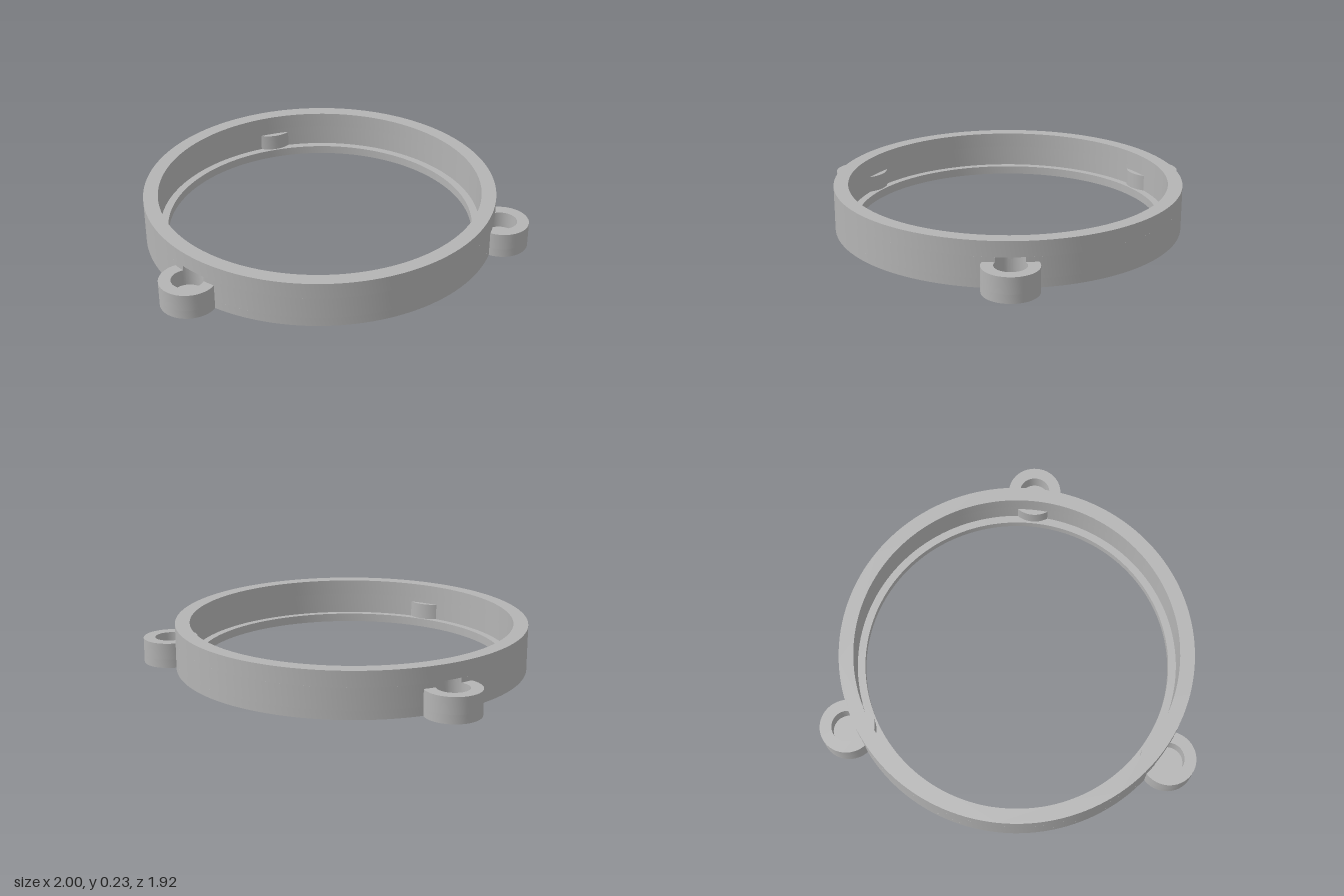
import * as THREE from 'three';
import { toCreasedNormals } from 'three/addons/utils/BufferGeometryUtils.js';

const OUTER = 0.91, WALL_IN = 0.835, LIP_IN = 0.795;   // ring radii
const LUG_DIST = 0.945, LUG_R = 0.14, BORE_R = 0.08;   // lug layout
const FLOOR = 0.045, LUG_TOP = 0.13, BORE_TOP = 0.155, TOP = 0.235; // heights
const COUNT = 3, STEP = (Math.PI * 2) / COUNT;

// Points along an arc, both ends included
function arc(cx, cy, r, from, to, n) {
  return Array.from({ length: n + 1 }, (_, i) => {
    const a = from + ((to - from) * i) / n;
    return new THREE.Vector2(cx + r * Math.cos(a), cy + r * Math.sin(a));
  });
}

function circle(r, n) {
  return arc(0, 0, r, 0, Math.PI * 2, n).slice(0, n);
}

// Extrude an outline with an optional hole upward from y0 to y1
function slab(outline, hole, y0, y1) {
  const shape = new THREE.Shape(outline);
  if (hole) shape.holes.push(new THREE.Path(hole));
  const geo = new THREE.ExtrudeGeometry(shape, { depth: y1 - y0, bevelEnabled: false });
  geo.rotateX(-Math.PI / 2);
  geo.translate(0, y0, 0);
  return toCreasedNormals(geo, 0.6);
}

// Outer ring outline bitten by the bores of the lugs
function notchedOutline() {
  const cosA = (LUG_DIST ** 2 + OUTER ** 2 - BORE_R ** 2) / (2 * LUG_DIST * OUTER);
  const a = Math.acos(cosA);
  const phi = Math.atan2(OUTER * Math.sin(a), OUTER * cosA - LUG_DIST);
  const points = [];
  for (let i = 0; i < COUNT; i++) {
    const t = i * STEP;
    const bite = arc(LUG_DIST * Math.cos(t), LUG_DIST * Math.sin(t), BORE_R,
      t + Math.PI * 2 - phi, t + phi, 20);
    const rim = arc(0, 0, OUTER, t + a, t + STEP - a, 48);
    points.push(...bite, ...rim.slice(1, -1));
  }
  return points;
}

export function createModel() {
  const model = new THREE.Group();
  model.name = 'ringMount';
  const grey = new THREE.MeshStandardMaterial({ color: 0xb4b4b4 });
  grey.name = 'grey';

  const add = (parent, name, geo) => {
    const mesh = new THREE.Mesh(geo, grey);
    mesh.name = name;
    parent.add(mesh);
  };

  // Ring: inner lip at the base, notched wall, plain upper wall
  const ring = new THREE.Group();
  ring.name = 'ring';
  add(ring, 'baseLip', slab(circle(OUTER, 144), circle(LIP_IN, 144), 0, FLOOR));
  add(ring, 'notchedWall', slab(notchedOutline(), circle(WALL_IN, 144), FLOOR, BORE_TOP));
  add(ring, 'upperWall', slab(circle(OUTER, 144), circle(WALL_IN, 144), BORE_TOP, TOP));
  model.add(ring);

  // Lugs: cups with a closed floor and a blind bore
  for (let i = 0; i < COUNT; i++) {
    const lug = new THREE.Group();
    lug.name = 'lug' + (i + 1);
    add(lug, 'lugFloor', slab(circle(LUG_R, 48), null, 0, FLOOR));
    add(lug, 'lugCup', slab(circle(LUG_R, 48), circle(BORE_R, 48), FLOOR, LUG_TOP));
    lug.position.set(LUG_DIST * Math.cos(i * STEP), 0, LUG_DIST * Math.sin(i * STEP));
    model.add(lug);
  }

  // Centre the overall footprint
  model.children.forEach((part) => { part.position.x -= 0.0875; });
  return model;
}
